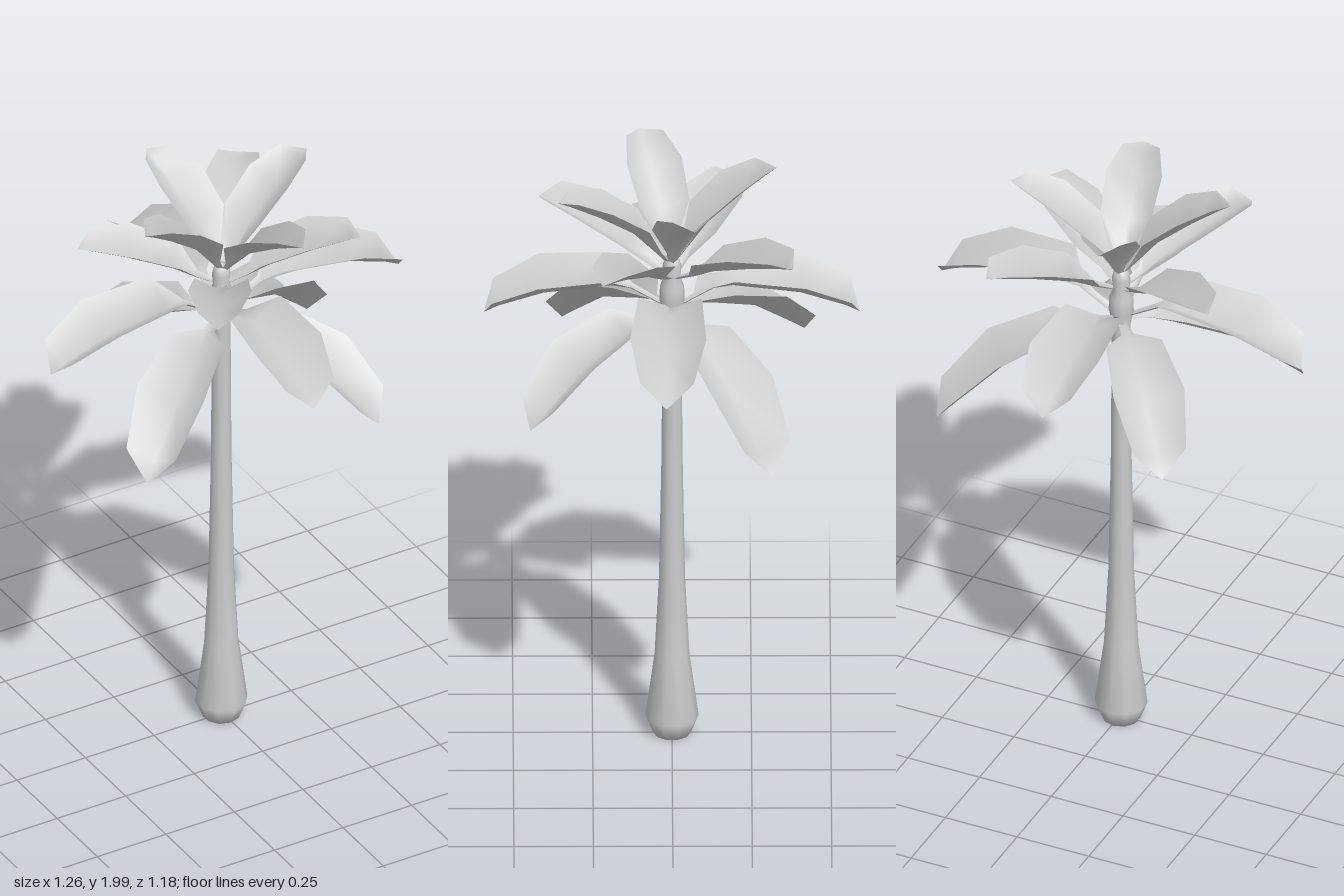
import * as THREE from 'three';

const mat = new THREE.MeshStandardMaterial({ color: 0xcccccc });
const leafMat = new THREE.MeshStandardMaterial({ color: 0xcccccc, side: THREE.DoubleSide });

// Each tier: spine sections [radius, height, half width] ending in a tip point,
// and fronds [direction x, direction z, scale, extra height at the tip]
const TIERS = [
  {
    name: 'droopingFrond',
    spine: [[0.02, 1.51, 0.012], [0.1, 1.5, 0.02], [0.165, 1.475, 0.09], [0.35, 1.39, 0.115], [0.5, 1.27, 0.085], [0.56, 1.22, 0]],
    fronds: [[0.47, -0.3, 1.04, -0.025], [-0.47, 0.34, 1.05, 0.025], [0.29, 0.42, 0.97, 0.02], [-0.34, -0.41, 0.97, 0.03]],
  },
  {
    name: 'levelFrond',
    spine: [[0.02, 1.525, 0.012], [0.14, 1.595, 0.018], [0.205, 1.605, 0.1], [0.43, 1.575, 0.12], [0.58, 1.525, 0.085], [0.63, 1.5, 0]],
    fronds: [[1, 0.03, 1, 0], [-1, 0.01, 1, 0], [-0.02, 1, 0.94, 0], [-0.02, -1, 0.94, 0]],
  },
  {
    name: 'raisedFrond',
    spine: [[0.02, 1.63, 0.012], [0.08, 1.655, 0.02], [0.15, 1.69, 0.085], [0.29, 1.735, 0.1], [0.41, 1.765, 0.065], [0.44, 1.77, 0]],
    fronds: [[0.27, -0.36, 1.08, 0.03], [0.36, 0.21, 0.99, 0.035], [-0.25, 0.4, 1.12, -0.005], [-0.39, -0.2, 1.04, 0]],
  },
  {
    name: 'crownFrond',
    spine: [[0.01, 1.68, 0.012], [0.05, 1.73, 0.025], [0.12, 1.815, 0.082], [0.23, 1.9, 0.09], [0.32, 1.96, 0.06], [0.355, 1.98, 0]],
    fronds: [[0.34, -0.07, 1, 0], [-0.34, 0.1, 1, 0], [0.08, 0.34, 1.04, -0.05], [-0.08, -0.32, 0.96, 0.01]],
  },
];

// V-shaped blade swept along its spine, growing towards +x
function frondGeometry(spine, scale, rise) {
  const y0 = spine[0][1], rows = spine.length - 1, reach = spine[rows][0];
  const path = spine.map(([r, y, w]) => [r * scale, y0 + (y - y0) * scale + (rise * r) / reach, w]);
  const pos = [], idx = [];
  path.forEach(([x, y, w], i) => {
    const a = path[Math.max(i - 1, 0)], b = path[Math.min(i + 1, rows)];
    const dx = b[0] - a[0], dy = b[1] - a[1], lift = (w * 0.65) / Math.hypot(dx, dy);
    const ex = x - dy * lift, ey = y + dx * lift;
    if (i === rows) pos.push(x, y, 0);
    else pos.push(ex, ey, -w, x, y, 0, ex, ey, w);
  });
  for (let i = 0; i < rows; i++) {
    for (let j = 0; j < 2; j++) {
      const a = i * 3 + j, b = a + 1;
      if (i === rows - 1) idx.push(a, b, rows * 3);
      else idx.push(a, b, a + 3, b, b + 3, a + 3);
    }
  }
  const g = new THREE.BufferGeometry();
  g.setAttribute('position', new THREE.Float32BufferAttribute(pos, 3));
  g.setIndex(idx);
  g.computeVertexNormals();
  return g;
}

export function createModel() {
  const model = new THREE.Group();
  model.name = 'palmTree';

  // Trunk: swollen foot, slim shaft, slightly thicker crown, rounded bud
  const profile = [
    [0, 0], [0.06, 0], [0.084, 0.06], [0.055, 0.28], [0.041, 0.56], [0.033, 1], [0.03, 1.5],
    [0.04, 1.55], [0.038, 1.6], [0.026, 1.63], [0.03, 1.67], [0.022, 1.7], [0, 1.71],
  ].map(([r, y]) => new THREE.Vector2(r, y));
  const trunk = new THREE.Mesh(new THREE.LatheGeometry(profile, 10), mat);
  trunk.name = 'trunk';
  trunk.position.x = -0.005;
  model.add(trunk);

  // Four tiers of four fronds
  for (const { name, spine, fronds } of TIERS) {
    const tier = new THREE.Group();
    tier.name = name + 'Tier';
    for (const [x, z, scale, rise] of fronds) {
      const frond = new THREE.Mesh(frondGeometry(spine, scale, rise), leafMat);
      frond.name = name;
      frond.rotation.y = -Math.atan2(z, x);
      tier.add(frond);
    }
    model.add(tier);
  }
  return model;
}
